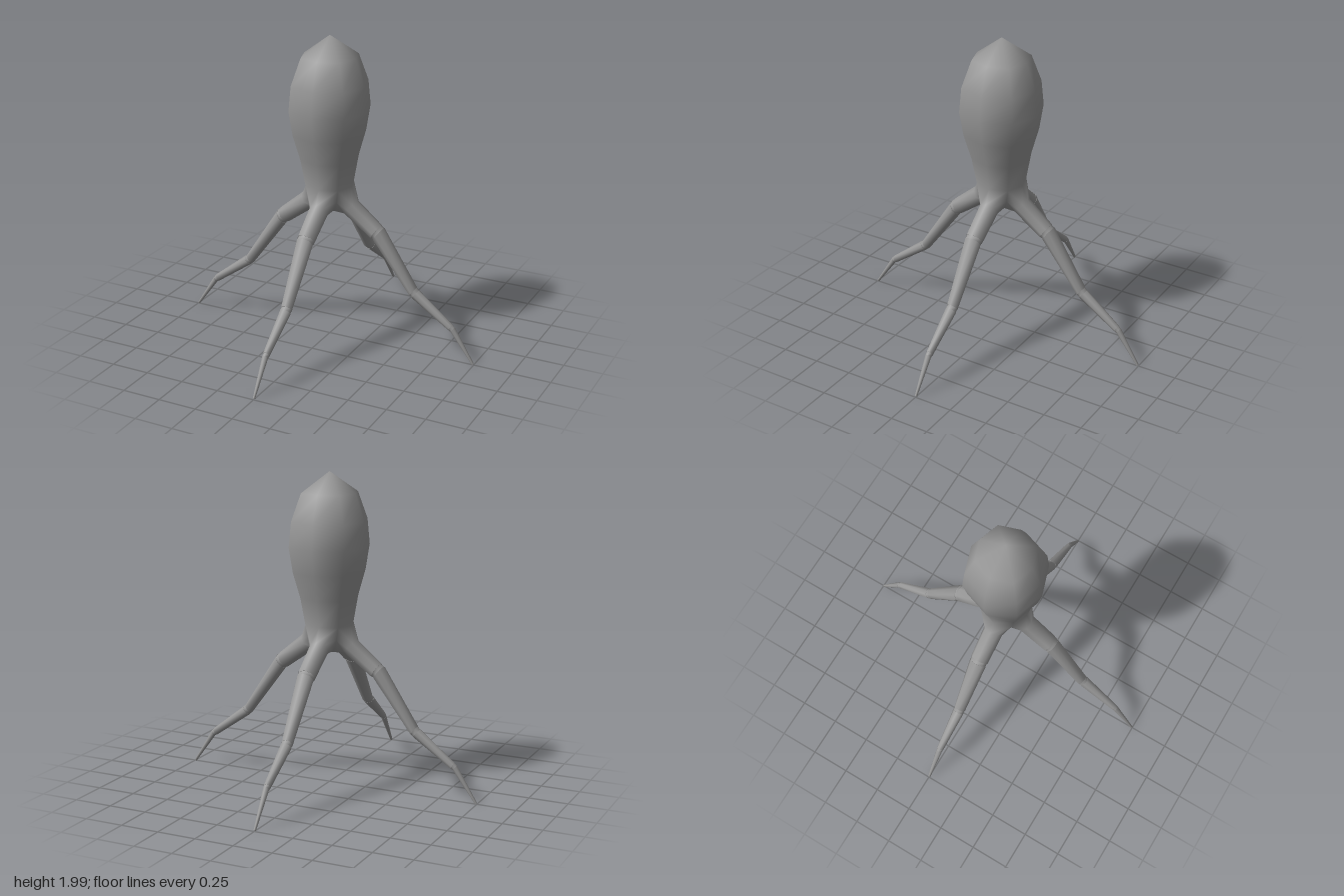
import * as THREE from 'three';

const SIDES = 8;

// Head profile from neck to crown: [radius, height]
const HEAD = [[0.15, 1.04], [0.18, 1.21], [0.225, 1.37], [0.25, 1.53], [0.235, 1.69], [0.175, 1.86], [0, 1.99]];
// The head is slightly squarish: its diagonal corners reach further out
const DIAGONAL = 1.06;

// Leg sections from hip to tip: [upper x, upper y, lower x, lower y, half width]
const LEG = [
  [0.19, 0.95, 0.11, 0.86, 0.064],
  [0.352, 0.815, 0.295, 0.728, 0.059], [0.37, 0.8, 0.312, 0.718, 0.057],
  [0.602, 0.445, 0.56, 0.39, 0.038], [0.618, 0.428, 0.577, 0.376, 0.037],
  [0.85, 0.245, 0.825, 0.205, 0.022], [0.865, 0.23, 0.843, 0.195, 0.02],
  [1.0, 0.012, 0.988, 0.002, 0.008], [0.996, 0.004, 0.996, 0.004, 0],
];

export function createModel() {
  const positions = [];
  const lookup = new Map();

  // Vertices with the same layer are shared, so shading is smooth within it
  function vertex([x, y, z], layer) {
    const key = [layer, ...[x, y, z].map((v) => Math.round(v * 1e4))].join();
    if (!lookup.has(key)) {
      lookup.set(key, positions.length / 3);
      positions.push(x, y, z);
    }
    return lookup.get(key);
  }

  // Skin neighbouring rings, dropping triangles that collapse at a point
  function loft(rings, layer) {
    const ids = rings.map((ring) => ring.map((p) => vertex(p, layer)));
    const index = [];
    const tri = (a, b, c) => {
      if (a !== b && b !== c && a !== c) index.push(a, b, c);
    };
    for (let i = 0; i < ids.length - 1; i++) {
      for (let k = 0; k < SIDES; k++) {
        const n = (k + 1) % SIDES;
        tri(ids[i][k], ids[i][n], ids[i + 1][n]);
        tri(ids[i][k], ids[i + 1][n], ids[i + 1][k]);
      }
    }
    return index;
  }

  const ringOf = (point) => Array.from({ length: SIDES }, (_, k) => point((k / SIDES) * Math.PI * 2, k));

  // Octagonal head with a corner on each axis
  const head = loft(HEAD.map(([r, y]) => ringOf((a, k) => {
    const reach = k % 2 ? r * DIAGONAL : r;
    return [reach * Math.cos(a), y, -reach * Math.sin(a)];
  })), 'skin');

  // Hip opening: neck edge, crotch between two legs, underside centre
  const d = HEAD[0][0] * DIAGONAL * Math.SQRT1_2;
  const hip = [
    [0.15, 1.04, 0], [d, 1.04, d], [0.092, 0.955, 0.092], [0.05, 0.88, 0.05],
    [0, 0.855, 0], [0.05, 0.88, -0.05], [0.092, 0.955, -0.092], [d, 1.04, -d],
  ];

  // Ring across the leg at section i, optionally shrunk about its centre
  const section = (i, scale = 1) => {
    const [ux, uy, lx, ly, w] = LEG[i];
    return ringOf((a) => [
      (ux + lx) / 2 + ((ux - lx) / 2) * scale * Math.cos(a),
      (uy + ly) / 2 + ((uy - ly) / 2) * scale * Math.cos(a),
      w * scale * Math.sin(a),
    ]);
  };

  // Smooth leg segments separated by shallow grooved joints
  const segments = [
    [hip, section(0), section(1)],
    [section(2), section(3)],
    [section(4), section(5)],
    [section(6), section(7), section(8)],
  ];
  const joints = [1, 3, 5].map((i) => [section(i), section(i, 0.95), section(i + 1, 0.95), section(i + 1)]);

  // Four legs, a quarter turn apart
  const parts = [['head', head]];
  ['left', 'back', 'right', 'front'].forEach((side, q) => {
    const c = [1, 0, -1, 0][q];
    const s = [0, 1, 0, -1][q];
    const turn = (rings) => rings.map((ring) => ring.map(([x, y, z]) => [x * c + z * s, y, z * c - x * s]));
    parts.push([`${side}Leg`, segments.flatMap((rings) => loft(turn(rings), 'skin'))]);
    parts.push([`${side}LegJoints`, joints.flatMap((rings) => loft(turn(rings), 'joint'))]);
  });

  // Normals over the whole skin, then one mesh per part
  const skin = new THREE.BufferGeometry();
  skin.setAttribute('position', new THREE.Float32BufferAttribute(positions, 3));
  skin.setIndex(parts.flatMap(([, index]) => index));
  skin.computeVertexNormals();

  const material = new THREE.MeshStandardMaterial({ color: 0x979797 });
  const group = new THREE.Group();
  group.name = 'creature';
  for (const [name, index] of parts) {
    skin.setIndex(index);
    const mesh = new THREE.Mesh(skin.toNonIndexed(), material);
    mesh.name = name;
    group.add(mesh);
  }
  return group;
}
